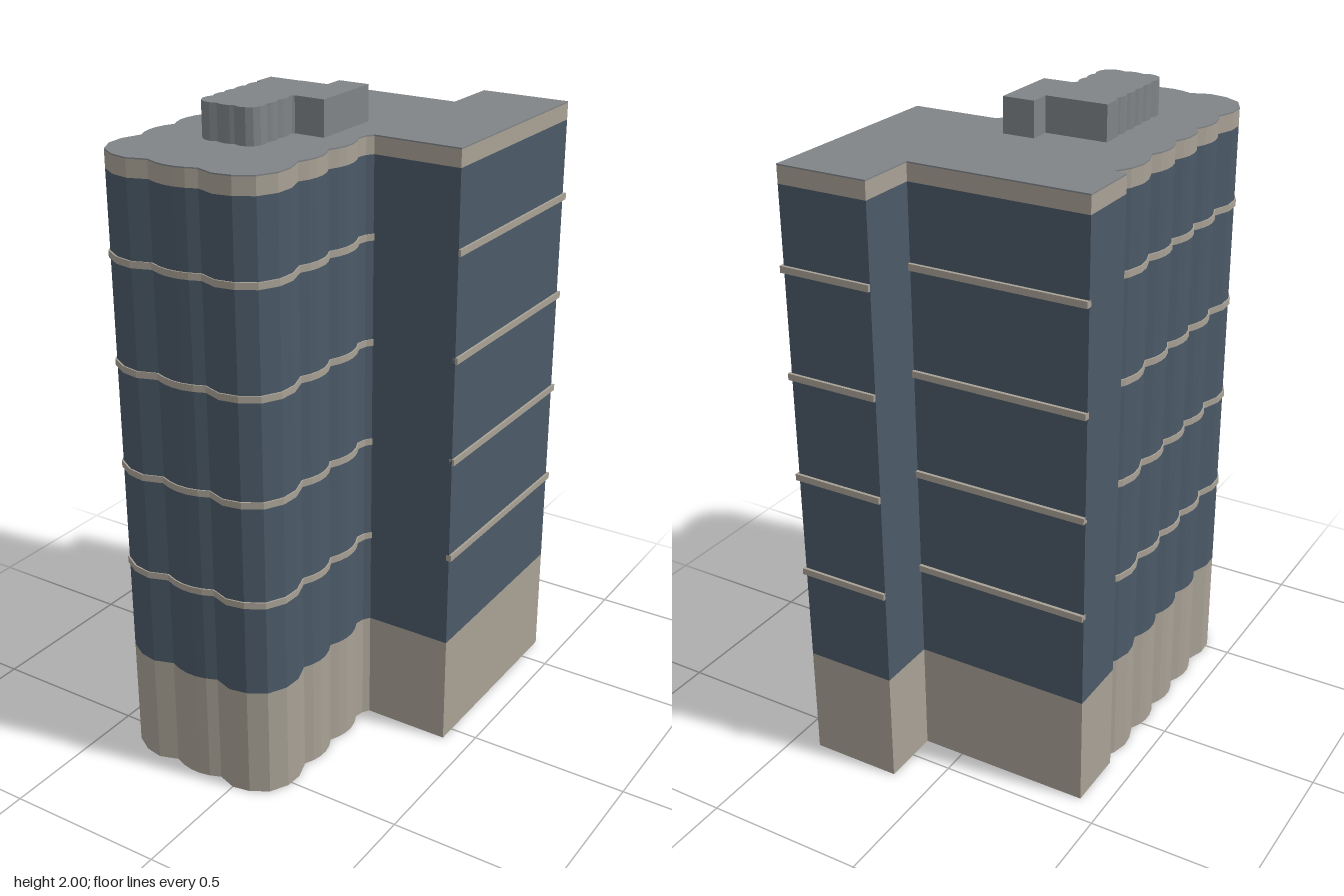
import * as THREE from 'three';

const material = (name, color) => {
  const m = new THREE.MeshStandardMaterial({ color });
  m.name = name;
  return m;
};

// Points [x, z] of a bulging bay between two cusps, last cusp included
function bay(a, b, depth, steps = 5) {
  const dx = b[0] - a[0], dz = b[1] - a[1], len = Math.hypot(dx, dz);
  return Array.from({ length: steps }, (_, i) => {
    const t = (i + 1) / steps, h = 4 * depth * t * (1 - t) / len;
    return [a[0] + dx * t + dz * h, a[1] + dz * t - dx * h];
  });
}

// Scalloped wing, from the right inner corner round the front to the left notch
function scallops() {
  const pts = [[0.14, 0.055], [0.126, 0.075], [0.12, 0.105]];
  pts.push(...bay([0.12, 0.105], [0.12, 0.255], 0.021));
  pts.push(...bay([0.12, 0.255], [0.12, 0.4], 0.021));
  const corner = [[0.14, 0.46], [0.137, 0.515], [0.108, 0.57], [0.055, 0.602], [0, 0.612], [-0.058, 0.592]];
  pts.push(...corner);
  pts.push(...bay([-0.058, 0.592], [-0.222, 0.592], 0.021));
  pts.push(...corner.slice(0, 5).reverse().map(([x, z]) => [-0.28 - x, z]), [-0.4, 0.4]);
  for (const z of [0.4, 0.255, 0.11]) pts.push(...bay([-0.4, z], [-0.4, z - 0.148], 0.021));
  pts.push([-0.416, -0.085], [-0.42, -0.125], [-0.408, -0.175], [-0.38, -0.222]);
  return pts;
}

// Upright prism over a floor outline
function prism(points, y, height) {
  const shape = new THREE.Shape(points.map(([x, z]) => new THREE.Vector2(x, -z)));
  const g = new THREE.ExtrudeGeometry(shape, { depth: height, bevelEnabled: false });
  return g.rotateX(-Math.PI / 2).translate(0, y, 0);
}

export function createModel() {
  const stone = material('stone', 0xa8a195);
  const glass = material('blue glass', 0x4b5a68);
  const roofGrey = material('roof grey', 0x808487);
  const group = new THREE.Group();
  const add = (name, geometry, mat) => {
    const mesh = new THREE.Mesh(geometry, mat);
    mesh.name = name;
    group.add(mesh);
  };

  const wing = scallops();
  const outline = [
    [-0.42, -0.42], [0.13, -0.42], [0.13, -0.607], [0.413, -0.607], [0.413, 0.055],
    ...wing, [-0.42, -0.225],
  ];

  // Stacked storeys, parapet and roof slab
  add('base', prism(outline, 0, 0.35), stone);
  add('glassStoreys', prism(outline, 0.35, 1.49), glass);
  add('parapet', prism(outline, 1.84, 0.051), stone);
  add('roof', prism(outline, 1.891, 0.004), roofGrey);

  // Small roof house repeats the floor plan
  const small = outline.map(([x, z]) => [x * 0.348 - 0.1, z * 0.348 + 0.142]);
  add('roofHouse', prism(small, 1.895, 0.105), roofGrey);

  // Floor bands, slightly proud of the walls
  const bandOutline = wing.map(([x, z]) => [-0.14 + (x + 0.14) * 1.015, 0.2 + (z - 0.2) * 1.01]);
  const bar = (name, w, d, x, y, z) =>
    add(name, new THREE.BoxGeometry(w, 0.02, d).translate(x, y, z), stone);
  for (const y of [0.647, 0.965, 1.283, 1.602]) {
    add('wingBand', prism(bandOutline, y - 0.01, 0.02), stone);
    bar('backBand', 0.55, 0.02, -0.145, y, -0.42);
    bar('rearBand', 0.29, 0.018, 0.275, y, -0.607);
    bar('sideBand', 0.016, 0.67, 0.412, y, -0.28);
  }
  return group;
}
